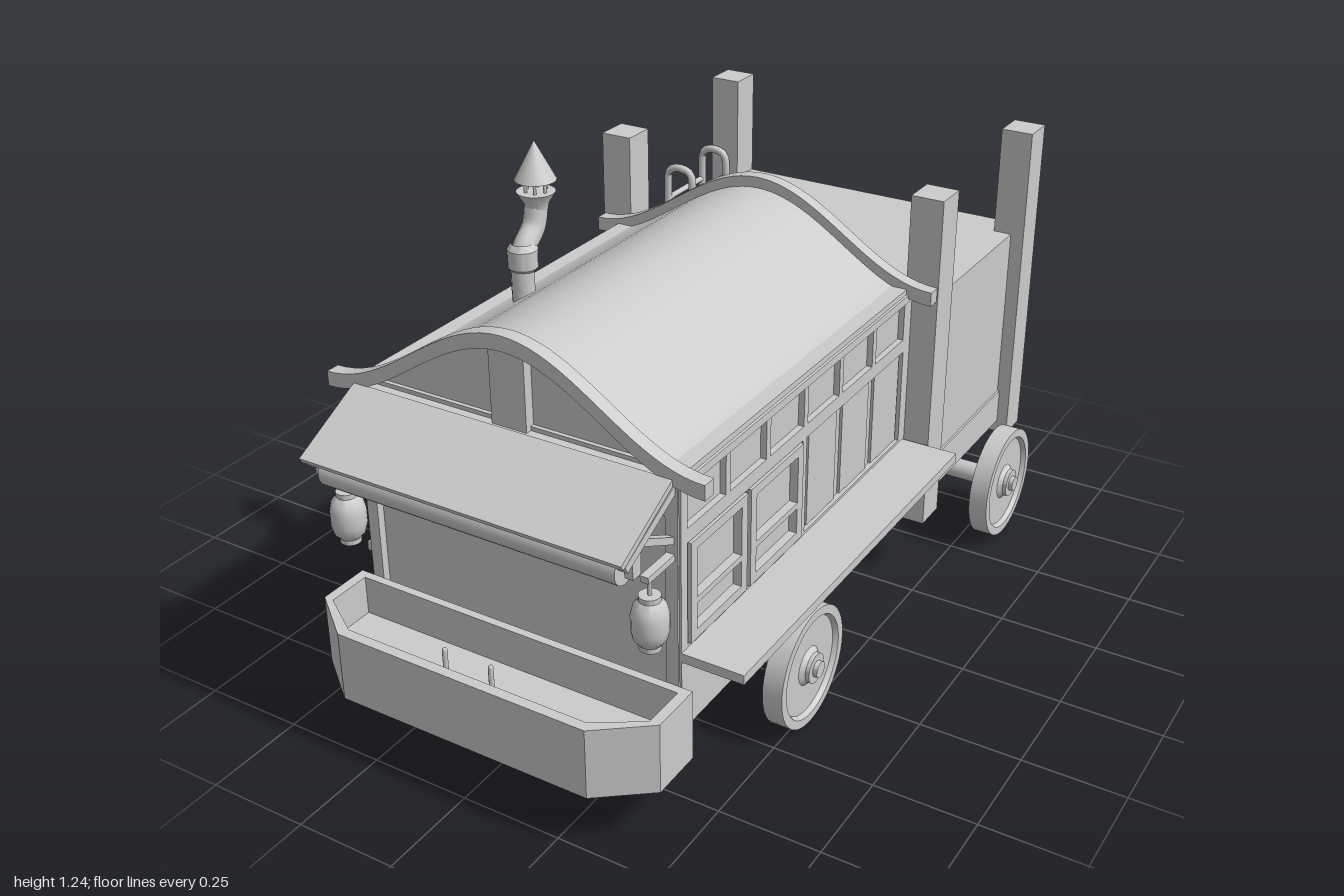
import * as THREE from 'three';
import { toCreasedNormals } from 'three/addons/utils/BufferGeometryUtils.js';

export function createModel() {
  const model = new THREE.Group();
  const mat = new THREE.MeshStandardMaterial({ color: 0xcccccc });
  const V = (x, y, z) => new THREE.Vector3(x, y, z);
  const add = (name, geo, x = 0, y = 0, z = 0) => {
    const m = new THREE.Mesh(geo, mat);
    m.name = name;
    m.position.set(x, y, z);
    model.add(m);
    return m;
  };
  // box from its limits on each axis
  const box = (name, x0, x1, y0, y1, z0, z1) =>
    add(name, new THREE.BoxGeometry(Math.abs(x1 - x0), y1 - y0, z1 - z0), (x0 + x1) / 2, (y0 + y1) / 2, (z0 + z1) / 2);
  // rectangular bar between two points
  const bar = (name, a, b, w, h) => {
    const m = add(name, new THREE.BoxGeometry(w, h, a.distanceTo(b)));
    m.position.copy(a).lerp(b, 0.5);
    m.lookAt(b);
    return m;
  };
  const lathe = (pts, n = 32) =>
    toCreasedNormals(new THREE.LatheGeometry(pts.map(p => new THREE.Vector2(...p)), n), 0.6);
  const rod = (name, x0, x1, y, z, r) => {
    const m = add(name, new THREE.CylinderGeometry(r, r, Math.abs(x1 - x0), 20), (x0 + x1) / 2, y, z);
    m.rotation.z = Math.PI / 2;
    return m;
  };
  const tube = (name, pts, r, n = 32) =>
    add(name, new THREE.TubeGeometry(new THREE.CatmullRomCurve3(pts, false, 'catmullrom', 0.5), n, r, 12));
  const extrude = (shape, depth) =>
    new THREE.ExtrudeGeometry(shape, { depth, bevelEnabled: false });
  const poly = pts => pts.map(p => new THREE.Vector2(...p));
  const rect = ([a0, a1, b0, b1]) => poly([[a0, b0], [a1, b0], [a1, b1], [a0, b1]]);
  // plate facing sideways, limits [z0, z1, y0, y1], with rectangular openings
  const sidePlate = (name, outer, holes, x0, depth) => {
    const flip = ([z0, z1, y0, y1]) => [-z1, -z0, y0, y1];
    const shape = new THREE.Shape(rect(flip(outer)));
    holes.forEach(h => shape.holes.push(new THREE.Path(rect(flip(h)))));
    return add(name, extrude(shape, depth).rotateY(Math.PI / 2), x0);
  };

  // front cabin walls
  box('cabinBody', -0.405, 0.405, 0.2, 0.83, -0.32, 0.755);
  const windows = [];
  for (let i = 0; i < 6; i++) {
    const z = 0.745 - i * 0.174;
    windows.push([z - 0.155, z, 0.695, 0.8]);
  }
  const bays = [[0.5, 0.745, 0.41, 0.66], [0.245, 0.495, 0.41, 0.66], [-0.285, 0.225, 0.41, 0.66]];
  const bigBays = [[0.235, 0.745, 0.41, 0.66], [-0.285, 0.215, 0.41, 0.66]];
  sidePlate('leftWallFrame', [-0.32, 0.77, 0.2, 0.83], [...windows, ...bays], 0.404, 0.016);
  sidePlate('rightWallFrame', [-0.32, 0.77, 0.2, 0.83], [...windows, ...bigBays], -0.42, 0.016);
  for (const [z0, z1] of [[0.505, 0.74], [0.25, 0.49]]) {
    sidePlate('sideDoor', [z0, z1, 0.412, 0.658],
      [[z0 + 0.025, z1 - 0.025, 0.435, 0.5], [z0 + 0.025, z1 - 0.025, 0.515, 0.635]], 0.404, 0.022);
  }
  for (const z of [-0.28, -0.11, 0.06]) box('slidingPanel', 0.4, 0.412, 0.412, 0.658, z, z + 0.14);
  box('sideShelf', 0.41, 0.57, 0.38, 0.403, -0.31, 0.77);
  box('sillRail', -0.43, -0.41, 0.38, 0.403, -0.31, 0.77);
  for (const s of [-1, 1]) {
    box('frontPost', s * 0.385, s * 0.415, 0.2, 0.82, 0.74, 0.775);
  }
  box('frontTieBeam', -0.415, 0.415, 0.73, 0.82, 0.74, 0.775);

  // curved roof and gable boards
  const arch = x => 0.835 + 0.1025 * (1 + Math.cos(Math.PI * x / 0.485));
  const strip = (half, drop, reverse) => {
    const pts = [];
    for (let i = 0; i <= 40; i++) {
      const x = (i / 20 - 1) * half * (reverse ? -1 : 1);
      pts.push([x, arch(x) - drop]);
    }
    return pts;
  };
  const roofShape = new THREE.Shape(poly([...strip(0.425, 0.028, true), [-0.425, 0.795], [0.425, 0.795]]));
  add('curvedRoof', toCreasedNormals(extrude(roofShape, 1.04), 0.5), 0, 0, -0.295);
  const boardShape = new THREE.Shape(poly([...strip(0.485, 0.036, false), ...strip(0.485, 0, true)]));
  for (const z of [-0.32, 0.75]) add('gableBoard', toCreasedNormals(extrude(boardShape, 0.035), 0.5), 0, 0, z);
  box('gableKingPost', -0.045, 0.045, 0.81, 1.005, 0.74, 0.77);

  // awning with its rolled blind and brackets
  const awning = box('awning', -0.41, 0.41, 0.763, 0.777, 0.768, 0.982);
  awning.rotation.x = 0.484;
  rod('rolledBlind', -0.38, 0.38, 0.683, 0.915, 0.038);
  for (const s of [-1, 1]) {
    const x = s * 0.398;
    bar('awningArm', V(x, 0.8, 0.77), V(x, 0.708, 0.955), 0.024, 0.02);
    bar('awningBrace', V(x, 0.675, 0.77), V(x, 0.74, 0.9), 0.018, 0.016);
    bar('blindHanger', V(x, 0.725, 0.915), V(x, 0.67, 0.915), 0.02, 0.03);
    // hanging lantern
    box('lanternArm', x - 0.01, x + 0.01, 0.63, 0.645, 0.77, 0.875);
    add('lanternHook', new THREE.CylinderGeometry(0.005, 0.005, 0.06, 8), x, 0.612, 0.855);
    add('lantern', lathe([[0, 0.462], [0.024, 0.462], [0.024, 0.474], [0.036, 0.488], [0.041, 0.51], [0.041, 0.545],
      [0.036, 0.566], [0.024, 0.58], [0.024, 0.592], [0, 0.592]], 20), x, 0, 0.855);
  }

  // front tray with cut corners
  const outline = (w, c, z0, z1) => poly([[-w, z0], [w, z0], [w, 0.905], [c, z1], [-c, z1], [-w, 0.905]]);
  const trayRim = new THREE.Shape(outline(0.45, 0.328, 0.775, 1));
  trayRim.holes.push(new THREE.Path(outline(0.425, 0.318, 0.795, 0.975)));
  add('frontTray', extrude(trayRim, 0.175).rotateX(Math.PI / 2), 0, 0.32, 0);
  add('trayFloor', extrude(new THREE.Shape(outline(0.44, 0.322, 0.78, 0.99)), 0.075).rotateX(Math.PI / 2), 0, 0.222, 0);
  for (const x of [-0.063, 0.06]) add('trayPeg', new THREE.CapsuleGeometry(0.006, 0.13, 4, 10), x, 0.283, 0.955);

  // rear box with corner posts
  box('rearBody', -0.452, 0.452, 0.2, 0.77, -0.975, -0.325);
  box('rearSill', -0.458, 0.458, 0.2, 0.295, -0.975, -0.335);
  for (const s of [-1, 1]) {
    for (const z of [-0.98, -0.41]) box('cornerPost', s * 0.403, s * 0.488, 0.165, 1.06, z, z + 0.09);
  }
  // tailgate
  box('tailgate', -0.41, 0.41, 0.2, 0.74, -0.988, -0.97);
  const gate = new THREE.Shape(rect([-0.4, 0.4, 0.385, 0.725]));
  gate.holes.push(new THREE.Path(rect([-0.38, 0.38, 0.405, 0.705])));
  add('tailgateFrame', extrude(gate, 0.012), 0, 0, -0.996);
  for (const s of [-1, 1]) {
    box('tailgateLatch', s * 0.29, s * 0.34, 0.372, 0.385, -1, -0.985);
    box('tailgateLatchStem', s * 0.325, s * 0.34, 0.372, 0.41, -1, -0.985);
  }

  // ladder hooked over the right side
  for (const z of [-0.87, -0.68]) {
    tube('ladderRail', [V(-0.51, 0.3, z), V(-0.51, 0.55, z), V(-0.51, 0.8, z), V(-0.503, 0.84, z),
      V(-0.475, 0.852, z), V(-0.438, 0.842, z), V(-0.43, 0.81, z), V(-0.43, 0.76, z)], 0.011, 48);
  }
  for (let i = 0; i < 7; i++) {
    const rung = add('ladderRung', new THREE.CylinderGeometry(0.008, 0.008, 0.19, 10), -0.51, 0.335 + i * 0.07, -0.775);
    rung.rotation.x = Math.PI / 2;
  }

  // stove pipe
  tube('chimneyElbow', [V(-0.29, 0.87, 0.315), V(-0.29, 0.96, 0.315), V(-0.29, 1.0, 0.305),
    V(-0.29, 1.04, 0.265), V(-0.29, 1.09, 0.25)], 0.028);
  add('chimneyCollar', lathe([[0.027, 0.945], [0.036, 0.955], [0.037, 1.0], [0.027, 1.015]], 20), -0.29, 0, 0.312);
  add('chimneyTop', lathe([[0, 1.08], [0.028, 1.08], [0.03, 1.095], [0.047, 1.122], [0, 1.122]], 20), -0.29, 0, 0.25);
  for (let i = 0; i < 6; i++) {
    const a = i * Math.PI / 3;
    add('chimneyStrut', new THREE.CylinderGeometry(0.004, 0.004, 0.04, 8),
      -0.29 + 0.026 * Math.cos(a), 1.135, 0.25 + 0.026 * Math.sin(a));
  }
  add('chimneyCap', new THREE.ConeGeometry(0.05, 0.095, 20), -0.29, 1.198, 0.25);

  // wheels, axles and undercarriage
  const wheelGeo = lathe([[0, -0.035], [0.032, -0.035], [0.032, -0.013], [0.122, -0.013], [0.128, -0.025], [0.15, -0.025],
    [0.15, 0.025], [0.128, 0.025], [0.122, 0.013], [0.048, 0.013], [0.037, 0.024], [0.037, 0.034],
    [0.02, 0.034], [0.02, 0.045], [0, 0.045]], 48);
  for (const s of [-1, 1]) {
    for (const [name, x, z] of [['frontWheel', 0.5, 0.365], ['rearWheel', 0.565, -0.655]]) {
      const w = add(name, wheelGeo, s * x, 0.153, z);
      w.rotation.z = -s * Math.PI / 2;
    }
    rod('frontAxle', s * 0.26, s * 0.5, 0.155, 0.365, 0.027);
    const bracket = new THREE.Shape(poly([[0.22, 0.095], [0.265, 0.095], [0.285, 0.115], [0.285, 0.205], [0.22, 0.205]]
      .map(([x, y]) => [s * x, y])));
    add('axleBracket', extrude(bracket, 0.09), 0, 0, 0.32);
  }
  rod('rearAxle', -0.565, 0.565, 0.155, -0.655, 0.027);
  const beam = new THREE.Shape(poly([[-0.76, 0.205], [-0.73, 0.107], [-0.58, 0.107], [-0.55, 0.205]].map(([z, y]) => [-z, y])));
  add('rearAxleBeam', extrude(beam, 0.54).rotateY(Math.PI / 2), -0.27);
  return model;
}
